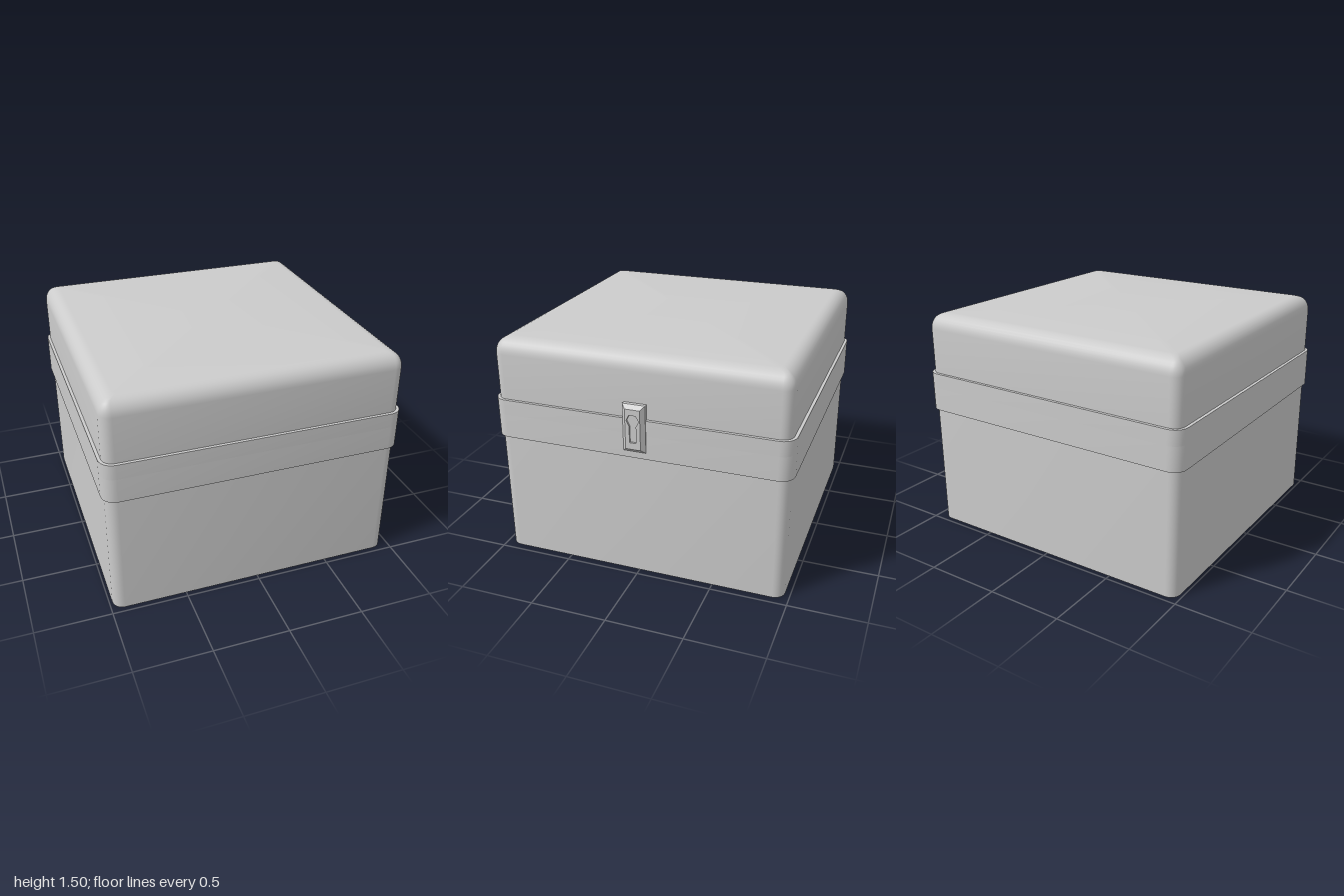
import * as THREE from 'three';
import { toCreasedNormals } from 'three/addons/utils/BufferGeometryUtils.js';

const grey = new THREE.MeshStandardMaterial({ color: 0xcccccc });

// Rounded rectangle ring at height y, pulled in by inset
function ring(hx, hz, r, inset, y, segs) {
  const rad = Math.max(0.03, r - inset) * (r > 0 ? 1 : 0);
  const cx = hx - inset - rad, cz = hz - inset - rad;
  const pts = [];
  [[1, 1], [-1, 1], [-1, -1], [1, -1]].forEach(([sx, sz], q) => {
    for (let i = 0; i <= segs; i++) {
      const a = (q + (segs ? i / segs : 0)) * Math.PI / 2;
      pts.push([sx * cx + rad * Math.cos(a), y, sz * cz + rad * Math.sin(a)]);
    }
  });
  return pts;
}

// Stacks rings along a profile of [inset, y], with optional end caps
function loft(hx, hz, r, profile, { bottom = false, top = false, segs = 6 } = {}) {
  const rings = profile.map(([inset, y]) => ring(hx, hz, r, inset, y, segs));
  const n = rings[0].length, pos = [];
  const tri = (...p) => p.forEach((v) => pos.push(...v));
  for (let j = 0; j < n; j++) {
    const k = (j + 1) % n;
    for (let i = 0; i < rings.length - 1; i++) {
      const lo = rings[i], hi = rings[i + 1];
      tri(lo[j], hi[j], lo[k]);
      tri(lo[k], hi[j], hi[k]);
    }
    const first = rings[0], last = rings[rings.length - 1];
    if (bottom) tri([0, first[0][1], 0], first[j], first[k]);
    if (top) tri([0, last[0][1], 0], last[k], last[j]);
  }
  const g = new THREE.BufferGeometry();
  g.setAttribute('position', new THREE.Float32BufferAttribute(pos, 3));
  return toCreasedNormals(g, 0.6);
}

function add(parent, name, geometry) {
  const mesh = new THREE.Mesh(geometry, grey);
  mesh.name = name;
  parent.add(mesh);
  return mesh;
}

export function createModel() {
  const model = new THREE.Group();
  model.name = 'box';
  const H = 0.965, R = 0.07, seam = 1.0;

  const shell = new THREE.Group();
  shell.name = 'shell';
  shell.position.x = -0.015;
  model.add(shell);

  // Lower box with its half of the raised rim
  add(shell, 'body', loft(H, H, R,
    [[0, 0], [0, 0.84], [-0.02, 0.84], [-0.02, seam]], { bottom: true }));

  // Lid: upper half of the rim, straight wall, then a rounded top edge
  const lid = [[-0.02, seam], [-0.02, 1.1], [0, 1.1]];
  for (let i = 0; i <= 8; i++) {
    const a = (i / 8) * Math.PI / 2;
    lid.push([0.1 * (1 - Math.cos(a)), 1.4 + 0.105 * Math.sin(a)]);
  }
  add(shell, 'lid', loft(H, H, R, lid, { top: true }));

  // Latch on the left side: chamfered frame, face with keyhole, recessed floor
  const latch = new THREE.Group();
  latch.name = 'latch';
  latch.position.set(0, 1.043, 0);
  model.add(latch);

  const frame = loft(0.157, 0.074, 0,
    [[0, 0.94], [0, 0.975], [0.025, 1.0]], { bottom: true, segs: 0 });
  add(latch, 'latchFrame', frame.rotateZ(-Math.PI / 2));

  const face = new THREE.Shape([[-0.049, -0.132], [0.049, -0.132], [0.049, 0.132], [-0.049, 0.132]]
    .map(([x, y]) => new THREE.Vector2(x, y)));
  face.holes.push(new THREE.Path([[-0.022, -0.088], [-0.022, 0.022], [-0.04, 0.058], [-0.022, 0.093],
    [0.022, 0.093], [0.04, 0.058], [0.022, 0.022], [0.022, -0.088]]
    .map(([x, y]) => new THREE.Vector2(x, y))));
  const plate = new THREE.ExtrudeGeometry(face, { depth: 0.014, bevelEnabled: false });
  add(latch, 'keyholePlate', plate.rotateY(Math.PI / 2)).position.x = 0.986;

  add(latch, 'keyholeFloor', new THREE.BoxGeometry(0.01, 0.26, 0.096)).position.x = 0.982;

  return model;
}
